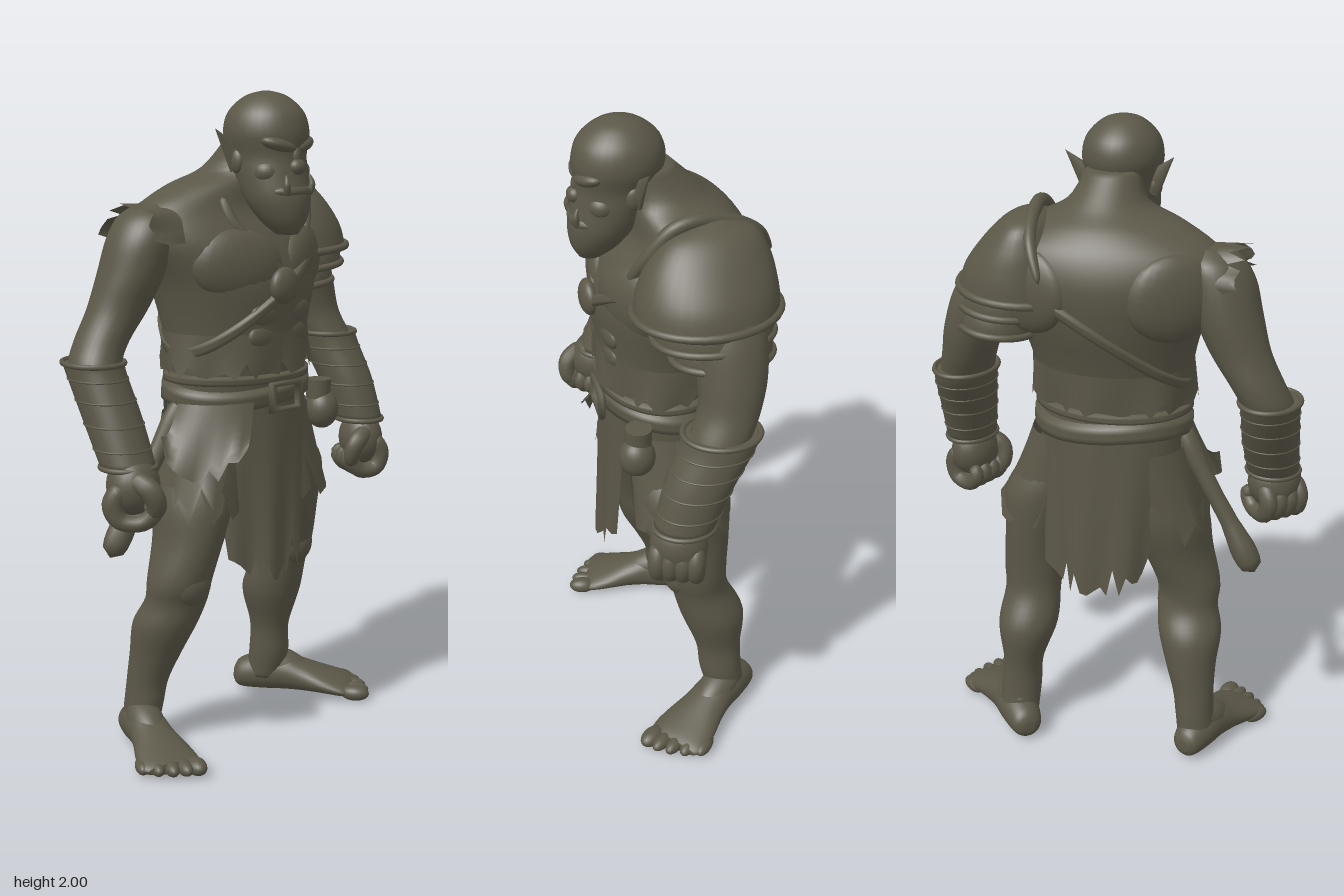
import * as THREE from 'three';
import { mergeVertices } from 'three/addons/utils/BufferGeometryUtils.js';

const skin = new THREE.MeshStandardMaterial({ color: 0x5b5748, side: THREE.DoubleSide });
skin.name = 'olive clay';
const V = (x, y, z) => new THREE.Vector3(x, y, z);

function add(parent, name, geo, pos = [0, 0, 0], rot = [0, 0, 0], scale = [1, 1, 1]) {
  const m = new THREE.Mesh(geo, skin);
  m.name = name;
  m.position.set(...pos); m.rotation.set(...rot); m.scale.set(...scale);
  parent.add(m);
  return m;
}
function group(parent, name, pos = [0, 0, 0], yaw = 0) {
  const g = new THREE.Group();
  g.name = name; g.position.set(...pos); g.rotation.y = yaw;
  parent.add(g);
  return g;
}
const ball = (p, name, pos, r, rot) => add(p, name, new THREE.SphereGeometry(1, 24, 16), pos, rot, r);
const ring = (p, name, [x, y, z, rx, rz], r, rot = [0, 0, 0]) => {
  const geo = new THREE.TorusGeometry(1, r / ((rx + rz) / 2), 8, 36).rotateX(Math.PI / 2);
  return add(p, name, geo, [x, y, z], rot, [rx, (rx + rz) / 2, rz]);
};

// Smoothly interpolated section [x, y, z, rx, rz, yaw] at fractional index u
function section(S, u) {
  const i = Math.min(Math.floor(u), S.length - 2), t = u - i;
  const at = (k) => S[Math.max(0, Math.min(S.length - 1, k))];
  return [0, 1, 2, 3, 4, 5].map((n) => {
    const [a, b, c, d] = [at(i - 1), at(i), at(i + 1), at(i + 2)].map((s) => s[n] || 0);
    return b + 0.5 * t * (c - a + t * (2 * a - 5 * b + 4 * c - d + t * (3 * (b - c) + d - a)));
  });
}
// Point on a section: angle 0 is the front, positive toward the model's left
function onSection([x, y, z, rx, rz, yaw], a, off = 0) {
  const X = Math.sin(a) * (rx + off), Z = Math.cos(a) * (rz + off);
  const c = Math.cos(yaw), s = Math.sin(yaw);
  return V(x + c * X + s * Z, y, z - s * X + c * Z);
}
function surface(P, I) {
  const g = new THREE.BufferGeometry();
  g.setAttribute('position', new THREE.Float32BufferAttribute(P, 3));
  g.setIndex(I);
  g.computeVertexNormals();
  return g;
}
// Closed body through elliptical sections, listed from low to high
function loft(S, seg = 32, steps = 5) {
  const P = [], I = [], rows = (S.length - 1) * steps;
  for (let i = 0; i <= rows; i++) {
    const s = section(S, i / steps);
    for (let j = 0; j < seg; j++) P.push(...onSection(s, -j / seg * 2 * Math.PI));
  }
  for (let i = 0; i < rows; i++) for (let j = 0; j < seg; j++) {
    const a = i * seg + j, d = i * seg + (j + 1) % seg;
    I.push(a, a + seg, d, a + seg, d + seg, d);
  }
  P.push(...S[0].slice(0, 3), ...S[S.length - 1].slice(0, 3));
  const lo = (rows + 1) * seg, top = rows * seg;
  for (let j = 0; j < seg; j++) I.push(lo, j, (j + 1) % seg, lo + 1, top + (j + 1) % seg, top + j);
  return surface(P, I);
}
// Grid surface from a function f(u, v), u across and v downward
function grid(nu, nv, f) {
  const P = [], I = [];
  for (let i = 0; i <= nv; i++) for (let j = 0; j <= nu; j++) P.push(...f(j / nu, i / nv, j));
  for (let i = 0; i < nv; i++) for (let j = 0; j < nu; j++) {
    const a = i * (nu + 1) + j, b = a + nu + 1;
    I.push(a, b, a + 1, b, b + 1, a + 1);
  }
  return surface(P, I);
}
// Rounded tapering tube
function tube(pts, radii, seg = 24) {
  const curve = new THREE.CatmullRomCurve3(pts.map((p) => V(...p)));
  const g = new THREE.TubeGeometry(curve, seg, 1, 12), pos = g.attributes.position, v = V();
  for (let k = 0; k < pos.count; k++) {
    const t = Math.floor(k / 13) / seg, u = t * (radii.length - 1);
    const i = Math.min(Math.floor(u), radii.length - 2);
    const r = THREE.MathUtils.lerp(radii[i], radii[i + 1], u - i) * Math.sqrt(Math.max(0, 1 - (2 * t - 1) ** 10));
    const c = curve.getPointAt(t);
    v.fromBufferAttribute(pos, k).sub(c).multiplyScalar(r).add(c);
    pos.setXYZ(k, v.x, v.y, v.z);
  }
  g.deleteAttribute('uv'); g.deleteAttribute('normal');
  const m = mergeVertices(g, 1e-5);
  m.computeVertexNormals();
  return m;
}
// Torn cloth hung between two sections, over angles a0..a1
function cloth(a0, a1, top, bottom, jag, cols, bulge = 0) {
  return grid(cols, 8, (u, v, j) => {
    const s = top.map((n, k) => n + (bottom[k] - n) * v);
    const tear = (j % 2 ? 0.3 : 1) * (0.55 + 0.45 * Math.sin(j * 2.3 + 1));
    s[1] += v * v * (jag * tear + bulge * (2 * u - 1) ** 2);
    return onSection(s, a0 + (a1 - a0) * u, 0.01 * v * Math.sin(j * 0.9));
  });
}

const TORSO = [
  [0, .85, 0, .1, .1, .2], [0, .93, 0, .21, .16, .2], [0, 1.08, .01, .23, .175, .2],
  [0, 1.2, .02, .23, .18, .25], [0, 1.32, .01, .25, .2, .3], [0, 1.45, -.005, .29, .225, .33],
  [-.01, 1.57, -.028, .345, .215, .33], [-.01, 1.66, -.045, .335, .175, .33], [0, 1.725, -.025, .235, .148, .33],
  [.02, 1.775, .01, .12, .12, .3], [.03, 1.86, .07, .082, .09, .26]];
function onTorso(a, y, off = 0) {
  let i = 0;
  while (i < TORSO.length - 2 && TORSO[i + 1][1] < y) i++;
  const u = i + (y - TORSO[i][1]) / (TORSO[i + 1][1] - TORSO[i][1]);
  const s = section(TORSO, u);
  s[1] = y;
  return onSection(s, a, off);
}
// Strap around the torso following height yOf(angle)
const strap = (yOf, h, off) => grid(72, 5, (u, v) => {
  const a = u * 2 * Math.PI;
  return onTorso(a, yOf(a) + h * (1 - 2 * v), v === 0 || v === 1 ? -0.01 : off);
});

function buildHead(root) {
  const h = group(root, 'head', [.035, 0, .12], .26);
  add(h, 'skull', loft([[0, 1.59, .095, .03, .035], [0, 1.63, .08, .066, .072], [0, 1.69, .058, .096, .1],
    [0, 1.76, .032, .106, .112], [0, 1.815, .018, .107, .118], [0, 1.88, .01, .121, .132],
    [0, 1.94, .008, .106, .116], [0, 1.985, .008, .06, .065], [0, 2, .008, .012, .012]]));
  ball(h, 'nose', [0, 1.785, .135], [.028, .024, .024]);
  ball(h, 'noseBridge', [0, 1.815, .125], [.018, .035, .02]);
  ball(h, 'lowerLip', [0, 1.715, .108], [.078, .028, .05]);
  ball(h, 'chin', [0, 1.66, .105], [.06, .06, .05]);
  ball(h, 'upperLip', [0, 1.75, .102], [.068, .026, .042]);
  for (const s of [-1, 1]) {
    ball(h, 'brow', [s * .045, 1.848, .105], [.058, .022, .034], [0, s * .35, s * .25]);
    ball(h, 'cheek', [s * .055, 1.77, .07], [.048, .04, .046]);
    add(h, 'tusk', tube([[s * .045, 1.705, .138], [s * .052, 1.735, .146], [s * .048, 1.765, .138]], [.012, .01, .003]));
    add(h, 'ear', new THREE.ConeGeometry(.042, .13, 16), [s * .124, 1.845, -.025], [0, s * .25, -s * .7], [1, 1, .4]);
    ball(h, 'earLobe', [s * .103, 1.8, -.01], [.016, .035, .026]);
  }
}

function buildTorso(root) {
  const t = group(root, 'torso');
  add(t, 'body', loft(TORSO, 48));
  for (const s of [-1, 1]) {
    ball(t, 'pectoral', onTorso(s * .55, 1.5, -.045).toArray(), [.15, .11, .055], [0, .33 + s * .4, s * .15]);
    ball(t, 'shoulderBlade', onTorso(Math.PI - s * .75, 1.55, -.03).toArray(), [.14, .13, .05], [0, .33 - s * .5, 0]);
    for (let k = 0; k < 3; k++)
      ball(t, 'abdominal', onTorso(s * .24, 1.22 + k * .07, -.019).toArray(), [.07, .042, .023], [0, .3, 0]);
    add(t, 'vestEdge', tube([0, 1, 2, 3].map((k) => onTorso(.05 + s * (.08 + k * .2), 1.46 + k * .08, -.004).toArray()), [.012, .016, .018, .016]));
  }
  add(t, 'chestStrap', strap((a) => 1.44 + .2 * Math.sin(a), .026, .012));
  ball(t, 'medallion', onTorso(-.1, 1.44, .006).toArray(), [.055, .055, .028], [0, .3, 0]);
  add(t, 'vestHem', cloth(0, 2 * Math.PI, [0, 1.3, .012, .248, .198, .29], [0, 1.165, .018, .252, .196, .25], .05, 48));
  // Torn cloth cap reaching out over the bare shoulder
  const torn = group(t, 'tornShoulder', [-.28, 1.58, .055], .25);
  add(torn, 'shoulderCloth', cloth(-3.2, .06, [0, .05, 0, .1, .115, 0], [0, -.13, 0, .1, .122, 0], .06, 22))
    .rotation.z = -Math.PI / 2;
}

function buildWaist(root) {
  const w = group(root, 'waist');
  add(w, 'belt', strap((a) => 1.105 + .012 * Math.sin(a * 2), .04, .018));
  add(w, 'beltRoll', strap(() => 1.16, .018, .016));
  const b = onTorso(.1, 1.105, .024);
  add(w, 'buckle', new THREE.TorusGeometry(.055, .012, 8, 4).rotateZ(Math.PI / 4), b.toArray(), [0, .22, 0], [1.4, 1, 1]);
  add(w, 'frontCloth', cloth(-.85, .7, [0, 1.09, .01, .242, .19, .2], [.01, .52, .02, .2, .195, .1], .1, 18, .1));
  add(w, 'backCloth', cloth(Math.PI - .9, Math.PI + .9, [0, 1.09, 0, .237, .182, .2], [0, .56, 0, .225, .205, .15], .1, 20, .08));
  // Ragged shorts around each thigh
  add(w, 'rightShort', cloth(0, 2 * Math.PI, [-.12, 1.04, .03, .118, .15, .1], [-.175, .73, .065, .128, .152, .1], .12, 24));
  add(w, 'leftShort', cloth(0, 2 * Math.PI, [.13, 1.06, -.02, .118, .14, .1], [.215, .73, -.055, .128, .147, .1], .12, 24));
  add(w, 'hipFlap', cloth(-1.45, -.35, [0, 1.1, .01, .245, .195, .2], [-.045, .86, .04, .28, .215, .2], .05, 10, .1));
  ball(w, 'pouch', [.27, 1.025, .085], [.052, .062, .055]);
  add(w, 'pouchNeck', new THREE.CylinderGeometry(.04, .038, .06, 20), [.26, 1.09, .08]);
  add(w, 'club', tube([[-.2, 1.11, .06], [-.29, .95, .06], [-.38, .8, .07], [-.465, .645, .08]],
    [.032, .034, .028, .026, .028, .04, .044]));
}

// Fist with the fingers curled toward the body; built for the left side
function buildHand(root, name, pos, yaw, side) {
  const h = group(root, name, pos, yaw);
  h.scale.x = side;
  ball(h, 'palm', [.012, .015, 0], [.068, .088, .085]);
  for (let i = 0; i < 4; i++) {
    const z = .057 - i * .037;
    add(h, 'finger', tube([[.03, .03, z], [.058, -.03, z], [.04, -.078, z], [-.015, -.083, z], [-.045, -.045, z], [-.02, -.02, z]],
      [.027, .028, .025, .024, .022]));
  }
  add(h, 'thumb', tube([[.01, .05, .05], [-.04, .01, .075], [-.05, -.04, .065], [-.03, -.065, .05]], [.028, .03, .026, .02]));
}

function buildArms(root) {
  const r = group(root, 'rightArm'), l = group(root, 'leftArm');
  add(r, 'arm', loft([[-.455, .93, .21, .045, .045], [-.465, 1, .18, .05, .055], [-.49, 1.13, .11, .07, .075],
    [-.495, 1.22, .065, .076, .085], [-.465, 1.29, .045, .08, .085], [-.41, 1.38, .04, .09, .09],
    [-.368, 1.48, .045, .097, .108], [-.338, 1.58, .05, .097, .11], [-.315, 1.645, .045, .08, .09], [-.3, 1.68, .04, .035, .04]]));
  add(l, 'arm', loft([[.5, .94, -.05, .045, .05], [.5, 1, -.06, .05, .055], [.46, 1.13, -.12, .075, .08],
    [.43, 1.22, -.15, .08, .088], [.398, 1.3, -.175, .082, .09], [.37, 1.39, -.18, .09, .1],
    [.335, 1.5, -.17, .092, .105], [.3, 1.6, -.15, .07, .09]]));
  const bracers = [
    [r, [[-.458, .95, .2, .08, .08], [-.475, 1.08, .135, .085, .093], [-.496, 1.2, .078, .085, .1], [-.5, 1.235, .065, .088, .103]]],
    [l, [[.497, .95, -.048, .074, .088], [.472, 1.08, -.09, .083, .1], [.442, 1.19, -.14, .09, .108], [.432, 1.23, -.152, .092, .11]]]];
  for (const [p, S] of bracers) {
    add(p, 'bracer', loft(S));
    for (const u of [0, .45, .9, 1.4, 1.9, 3]) ring(p, 'bracerBand', section(S, u), u % 3 ? .003 : .008);
  }
  buildHand(r, 'rightHand', [-.442, .885, .23], -.55, -1.15);
  buildHand(l, 'leftHand', [.487, .87, -.035], -.15, 1);
}

// Layered shoulder armour: a sloping cap over two overlapping lower plates
function buildPauldron(root) {
  const p = group(root, 'pauldron');
  add(p, 'cap', loft([[.238, 1.515, -.112, .19, .21, .33], [.232, 1.59, -.114, .172, .2, .33], [.217, 1.67, -.12, .125, .172, .33],
    [.202, 1.735, -.13, .07, .12, .33], [.195, 1.765, -.135, .01, .02, .33]], 36));
  ring(p, 'plateRim', [.238, 1.52, -.112, .19, .21], .012, [0, .33, .06]);
  for (const [x, y, z, rx, ry, rz] of [[.28, 1.475, -.13, .147, .15, .172], [.292, 1.415, -.155, .125, .13, .145]]) {
    add(p, 'plate', new THREE.SphereGeometry(1, 36, 14, 0, 2 * Math.PI, 0, 1.7), [x, y, z], [0, .33, .1], [rx, ry, rz]);
    ring(p, 'plateRim', [x, y - .012, z, rx, rz], .011, [0, .33, .1]);
  }
  add(p, 'collarGuard', tube([[.06, 1.6, -.3], [.12, 1.7, -.25], [.175, 1.76, -.14], [.215, 1.755, -.03],
    [.215, 1.65, .06], [.175, 1.54, .12]], [.014, .018, .02, .022, .02, .014], 40));
}

function buildFoot(root, name, pos, yaw, side, length) {
  const f = group(root, name, pos, yaw);
  f.scale.set(side, 1, length);
  add(f, 'sole', loft([[0, -.11, -.05, .02, .02], [0, -.09, -.055, .046, .048], [0, -.02, -.067, .06, .064],
    [0, .05, -.068, .062, .064], [0, .11, -.056, .07, .052], [0, .18, -.042, .088, .038], [0, .24, -.03, .094, .027],
    [0, .265, -.028, .075, .016]]).rotateX(Math.PI / 2));
  ball(f, 'instep', [0, .088, .04], [.055, .055, .11], [.42, 0, 0]);
  for (let i = 0; i < 5; i++)
    ball(f, 'toe', [-.07 + i * .037, .027, .275 - i * i * .004], [i ? .022 : .029, i ? .022 : .026, .045], [0, i * .08 - .1, 0]);
}

function buildLegs(root) {
  const r = group(root, 'rightLeg'), l = group(root, 'leftLeg');
  add(r, 'leg', loft([[-.325, .06, -.015, .058, .062], [-.315, .14, -.008, .06, .068], [-.305, .21, -.002, .065, .067],
    [-.285, .3, .015, .08, .083], [-.265, .4, .042, .1, .1], [-.24, .48, .07, .098, .09], [-.235, .55, .085, .1, .1],
    [-.2, .67, .075, .104, .128], [-.165, .8, .055, .125, .15], [-.12, .95, .03, .11, .14]]));
  add(l, 'leg', loft([[.235, .06, -.2, .06, .062], [.24, .15, -.18, .065, .068], [.235, .25, -.17, .062, .072],
    [.228, .38, -.148, .094, .1], [.232, .49, -.108, .089, .09], [.235, .57, -.09, .097, .1],
    [.225, .7, -.07, .105, .125], [.2, .85, -.05, .13, .143], [.13, .97, -.02, .11, .13]]));
  ball(r, 'kneecap', [-.228, .545, .132], [.07, .075, .056]);
  ball(l, 'kneecap', [.245, .56, -.046], [.07, .075, .056]);
  buildFoot(r, 'rightFoot', [-.333, 0, .01], -.1, -1, 1);
  buildFoot(l, 'leftFoot', [.25, 0, -.195], .92, 1.05, 1.08);
}

export function createModel() {
  const root = new THREE.Group();
  root.name = 'brute';
  [buildHead, buildTorso, buildWaist, buildArms, buildPauldron, buildLegs].forEach((build) => build(root));
  return root;
}
